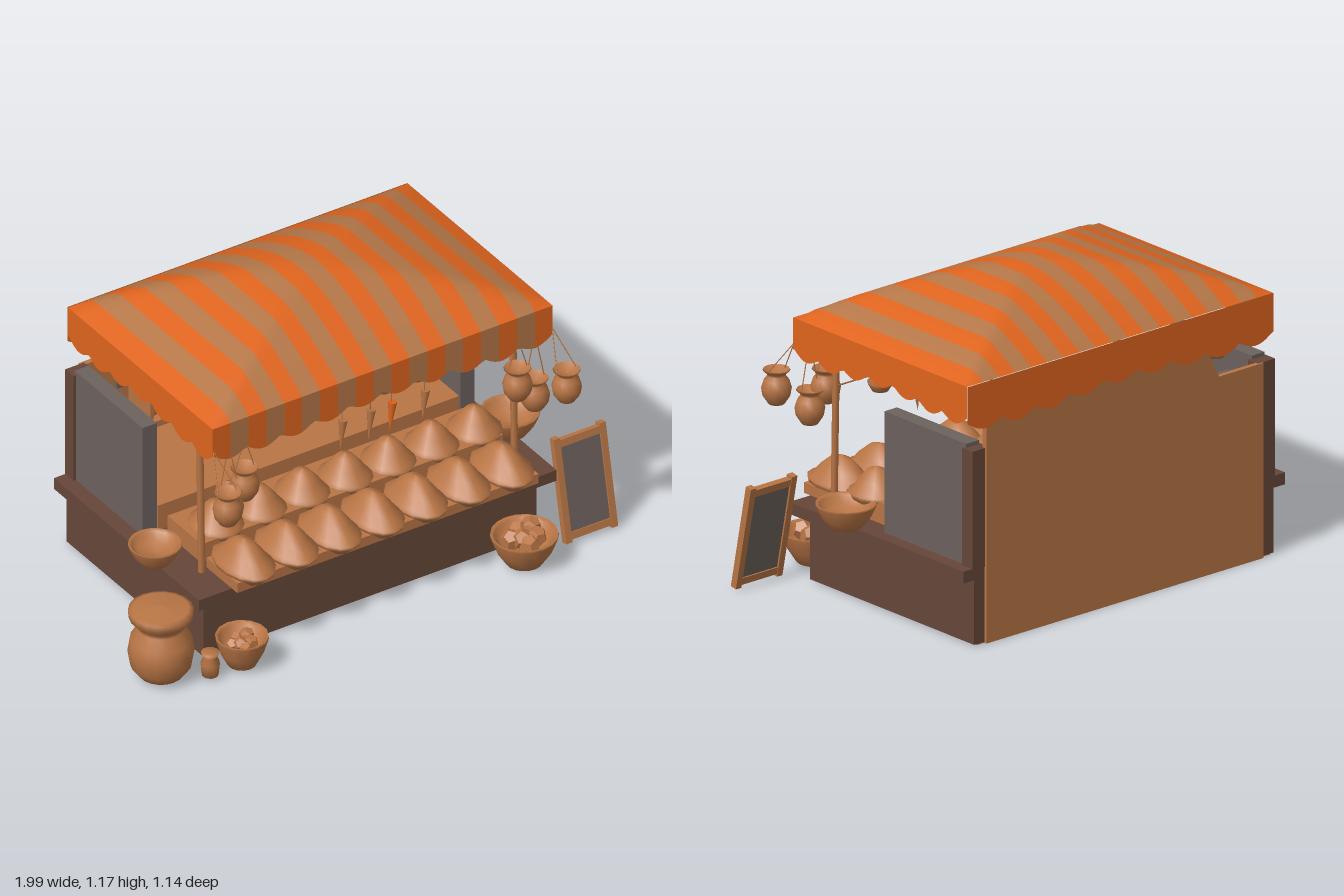
import * as THREE from 'three';

const mat = (name, color, side = THREE.FrontSide) => {
  const m = new THREE.MeshStandardMaterial({ color, side });
  m.name = name;
  return m;
};

export function createModel() {
  const tan = mat('tan', 0xb87545), brown = mat('dark brown', 0x664739), grey = mat('slate grey', 0x6c615d);
  const orange = mat('orange cloth', 0xdf641e, THREE.DoubleSide), tanCloth = mat('tan cloth', 0xb57748, THREE.DoubleSide);
  const root = new THREE.Group();

  const add = (name, geo, material, x = 0, y = 0, z = 0, parent = root) => {
    const m = new THREE.Mesh(geo, material);
    m.name = name;
    m.position.set(x, y, z);
    parent.add(m);
    return m;
  };
  // Box given by its lower and upper corners
  const box = (name, material, x0, x1, y0, y1, z0, z1, parent = root) =>
    add(name, new THREE.BoxGeometry(x1 - x0, y1 - y0, z1 - z0), material,
      (x0 + x1) / 2, (y0 + y1) / 2, (z0 + z1) / 2, parent);
  const turn = (name, profile, x, y, z, s = 1, seg = 14) => {
    const m = add(name, new THREE.LatheGeometry(profile.map(p => new THREE.Vector2(...p)), seg), tan, x, y, z);
    m.scale.setScalar(s);
    return m;
  };
  // Thin rod between two points
  const rod = (name, a, b, r = 0.004, material = tan) => {
    const A = new THREE.Vector3(...a), d = new THREE.Vector3(...b).sub(A);
    const m = add(name, new THREE.CylinderGeometry(r, r, d.length(), 6), material);
    m.position.copy(A).addScaledVector(d, 0.5);
    m.quaternion.setFromUnitVectors(new THREE.Vector3(0, 1, 0), d.normalize());
    return m;
  };

  // Counter, side screens and back wall
  box('counterBase', brown, -0.685, 0.73, 0.005, 0.26, -0.553, 0.33);
  box('floorPlate', tan, -0.67, 0.715, 0, 0.008, -0.55, 0.32);
  box('counterTop', brown, -0.74, 0.78, 0.25, 0.295, -0.553, 0.385);
  for (const [x0, x1] of [[-0.68, -0.62], [0.67, 0.73]]) {
    box('sideScreen', grey, x0, x1, 0.295, 0.755, -0.51, -0.07);
    box('cornerPost', brown, x0 - 0.01, x1 + 0.01, 0.29, 0.74, -0.555, -0.5);
  }
  const wall = new THREE.Shape([[-0.63, 0], [0.68, 0], [0.68, 0.86], [-0.36, 0.86], [-0.42, 0.74], [-0.63, 0.74]]
    .map(p => new THREE.Vector2(...p)));
  add('backWall', new THREE.ExtrudeGeometry(wall, { depth: 0.02, bevelEnabled: false }), tan, 0, 0, -0.562);

  // Striped awning: domed hip roof and scalloped valances
  const X0 = -0.675, X1 = 0.77, Z0 = -0.56, Z1 = 0.375, W = X1 - X0, D = Z1 - Z0;
  const CX = (X0 + X1) / 2, CZ = (Z0 + Z1) / 2, STRIPES = 19;
  const stripe = (geo, nx, nz) => {
    const src = geo.index.array, buckets = [[], []], per = nx / STRIPES;
    for (let r = 0; r < nz; r++) for (let c = 0; c < nx; c++) {
      const k = (r * nx + c) * 6;
      buckets[Math.floor(c / per) % 2].push(...src.slice(k, k + 6));
    }
    geo.setIndex([...buckets[0], ...buckets[1]]);
    geo.addGroup(0, buckets[0].length, 0);
    geo.addGroup(buckets[0].length, buckets[1].length, 1);
    geo.computeVertexNormals();
    return geo;
  };
  const roof = new THREE.PlaneGeometry(W, D, STRIPES * 2, 24).rotateX(-Math.PI / 2);
  const rp = roof.attributes.position;
  for (let i = 0; i < rp.count; i++) {
    const t = Math.max(Math.abs(rp.getX(i)) / (W / 2), Math.abs(rp.getZ(i)) / (D / 2));
    rp.setY(i, 0.175 * (1 - Math.pow(t, 1.75)));
  }
  add('awningRoof', stripe(roof, STRIPES * 2, 24), [orange, tanCloth], CX, 0.995, CZ);

  const valance = (len, n, waves, depth) => {
    const g = new THREE.PlaneGeometry(len, 1, n, 1), p = g.attributes.position;
    for (let i = 0; i < p.count; i++) {
      const u = p.getX(i) / len + 0.5;
      const drop = depth + 0.03 * Math.abs(Math.sin(Math.PI * waves * u)) + 0.012 * Math.sin(u * 9);
      p.setY(i, p.getY(i) > 0 ? 0 : -drop);
    }
    g.computeVertexNormals();
    return g;
  };
  add('frontValance', stripe(valance(W, STRIPES * 4, 10, 0.115), STRIPES * 4, 1), [orange, tanCloth], CX, 0.995, Z1);
  add('backValance', valance(W, 80, 9, 0.14), orange, CX, 0.995, Z0 - 0.004).rotation.y = Math.PI;
  add('leftValance', valance(D, 48, 7, 0.115), orange, X1, 0.995, CZ).rotation.y = Math.PI / 2;
  add('rightValance', valance(D, 48, 7, 0.115), orange, X0, 0.995, CZ).rotation.y = -Math.PI / 2;
  for (const x of [-0.63, 0.7]) rod('awningPost', [x, 0.295, 0.235], [x, 0.99, 0.22], 0.013);
  rod('hangingRail', [-0.63, 0.765, 0.215], [0.7, 0.765, 0.215], 0.003);
  rod('slantedBeam', [0.3, 0.76, -0.5], [0.69, 0.83, -0.5], 0.01);

  // Produce heaps in two rows on the counter
  const heap = [[0, 0], [0.065, 0], [0.095, 0.04], [0.098, 0.055], [0.084, 0.06], [0.06, 0.1], [0.03, 0.135], [0, 0.148]];
  box('frontTray', tan, -0.6, 0.68, 0.295, 0.335, 0.22, 0.42);
  box('rearTray', tan, -0.6, 0.68, 0.295, 0.375, -0.03, 0.19);
  box('rearTable', tan, -0.615, 0.665, 0.295, 0.4, -0.54, -0.07);
  for (let i = 0; i < 7; i++) {
    const x = -0.51 + i * 0.183;
    turn('frontHeap', heap, x, 0.297, 0.325).scale.z = 1.5;
    turn('rearHeap', heap, x + 0.03, 0.325, 0.1).scale.z = 1.1;
  }

  // Shelves with bottles on the back wall
  const bottle = [[0, 0], [0.017, 0], [0.019, 0.055], [0.007, 0.08], [0.007, 0.1], [0.011, 0.105], [0, 0.106]];
  for (const [y, s] of [[0.49, 0.85], [0.63, 1.15]]) {
    box('shelf', tan, -0.43, -0.1, y, y + 0.025, -0.54, -0.38);
    for (let i = 0; i < 7; i++) turn('bottle', bottle, -0.4 + i * 0.045, y + 0.025, -0.43, s * (1 - 0.12 * (i % 3)), 8);
  }
  for (const x of [-0.43, -0.095]) box('shelfUpright', tan, x, x + 0.015, 0.4, 0.75, -0.54, -0.4);
  box('slateBoard', grey, -0.49, -0.44, 0.6, 0.74, -0.54, -0.525);

  // Vases on the rear table
  const vase = [[0, 0], [0.026, 0], [0.036, 0.06], [0.022, 0.13], [0.03, 0.17], [0.024, 0.172], [0, 0.15]];
  for (const x of [0.36, 0.46, 0.6]) turn('vase', vase, x, 0.4, -0.25, 1.15, 10);

  // Peppers strung on the rail
  for (const [x, m] of [[-0.02, tan], [0.1, tan], [0.19, orange], [0.33, tan]]) {
    rod('pepperString', [x, 0.765, 0.215], [x, 0.7, 0.215], 0.002);
    const p = add('pepper', new THREE.ConeGeometry(0.017, 0.13, 8), m, x, 0.64, 0.212);
    p.rotation.set(Math.PI, 0, 0.1);
  }

  // Hanging pots at the front corners
  const pot = [[0, 0], [0.03, 0], [0.05, 0.03], [0.055, 0.06], [0.046, 0.09], [0.033, 0.105], [0.036, 0.115],
    [0.05, 0.127], [0.048, 0.131], [0.03, 0.115], [0, 0.11]];
  for (const [x, y, z] of [[-0.67, 0.645, 0.465], [-0.53, 0.645, 0.36], [-0.6, 0.58, 0.365],
    [0.77, 0.645, 0.465], [0.63, 0.645, 0.36], [0.7, 0.58, 0.365]]) {
    turn('hangingPot', pot, x, y, z);
    for (const s of [-1, 1]) rod('potString', [x + s * 0.04, y + 0.125, z], [x, 0.9, Math.min(z, 0.37)], 0.002);
  }

  // Hanging pans
  const pan = [[0, 0], [0.03, 0], [0.042, 0.02], [0.047, 0.035], [0.04, 0.033], [0, 0.015]];
  for (const [x, z] of [[0.6, 0.1], [-0.52, -0.43]]) {
    turn('hangingPan', pan, x, 0.755, z);
    for (const s of [-1, 1]) rod('panString', [x, 0.785, z + s * 0.045], [x, 0.89, z + s * 0.025], 0.003);
  }

  // Bowls on the counter ends
  const bowl = [[0, 0], [0.06, 0], [0.09, 0.04], [0.11, 0.085], [0.108, 0.092], [0.095, 0.085], [0.07, 0.05], [0, 0.04]];
  turn('counterBowl', bowl, 0.78, 0.288, 0.08, 1, 18);
  turn('counterBowl', bowl, -0.73, 0.29, 0.085, 0.88, 18);

  // Pots and bowls standing on the ground
  turn('largeJar', [[0, 0], [0.08, 0], [0.11, 0.04], [0.12, 0.1], [0.112, 0.15], [0.085, 0.195], [0.085, 0.21],
    [0.115, 0.24], [0.118, 0.27], [0.1, 0.275], [0, 0.285]], -0.875, 0.015, 0.345, 1, 18);
  turn('smallJar', [[0, 0], [0.03, 0], [0.035, 0.05], [0.025, 0.075], [0.033, 0.095], [0, 0.09]], -0.735, 0.015, 0.45);
  turn('groundBowl', bowl, -0.6, 0.015, 0.45, 0.88, 14).scale.y = 1.3;
  turn('groundBasket', bowl, 0.6, 0.01, 0.45, 1.12, 18).scale.y = 1.3;
  for (let i = 0; i < 7; i++) {
    const a = i * 2.4, r = 0.018 * Math.sqrt(i) + 0.01;
    for (const [x, y, s] of [[0.6, 0.115, 1.1], [-0.6, 0.1, 0.8]]) {
      const c = add('foodChunk', new THREE.DodecahedronGeometry(0.036 * s), tan,
        x + Math.cos(a) * r * s, y + 0.01 * (i % 2), 0.45 + Math.sin(a) * r * s);
      c.rotation.set(a, i, 0);
    }
  }

  // Leaning menu board
  const sign = new THREE.Group();
  sign.name = 'menuBoard';
  sign.position.set(0.89, 0.01, 0.435);
  sign.rotation.x = -0.2;
  root.add(sign);
  for (const s of [-1, 1]) box('signSide', tan, s * 0.097 - 0.013, s * 0.097 + 0.013, 0, 0.408, -0.014, 0.014, sign);
  for (const y of [0.01, 0.37]) box('signRail', tan, -0.09, 0.09, y, y + 0.028, -0.012, 0.012, sign);
  box('signSlate', grey, -0.088, 0.088, 0.03, 0.38, -0.007, 0.007, sign);

  return root;
}
